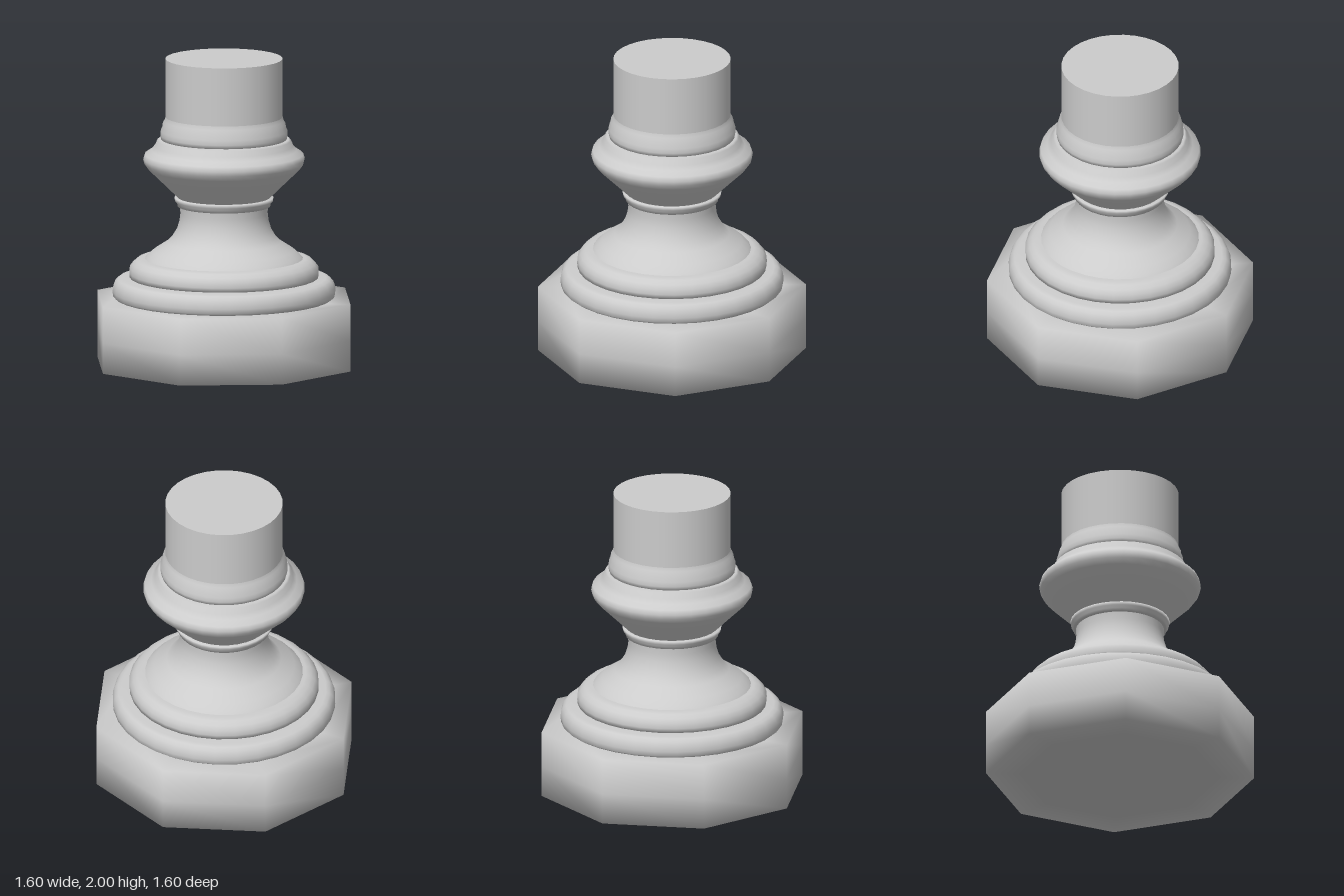
import * as THREE from 'three';

export function createModel() {
  const model = new THREE.Group();
  const material = new THREE.MeshStandardMaterial({ color: 0xcccccc });

  // Turned part: [radius, height] pairs, listed from bottom to top
  function turned(name, profile, sides = 32, start = 0) {
    const points = profile.map(([r, y]) => new THREE.Vector2(r, y));
    const mesh = new THREE.Mesh(new THREE.LatheGeometry(points, sides, start), material);
    mesh.name = name;
    model.add(mesh);
  }

  // Octagonal plinth, flat sides facing the axes, softly shaded edges
  const R = 0.8 / Math.cos(Math.PI / 8);
  turned('plinth', [[0, 0], [0.65, 0], [R, 0], [R, 0.2], [R, 0.435], [0.7, 0.435], [0, 0.435]], 8, Math.PI / 8);

  // Stepped rings
  turned('lowerRing', [[0.66, 0.435], [0.7, 0.436], [0.717, 0.45], [0.72, 0.48], [0.717, 0.51],
    [0.705, 0.54], [0.685, 0.558], [0.66, 0.567], [0.58, 0.57]]);
  turned('upperRing', [[0.56, 0.569], [0.61, 0.572], [0.612, 0.6], [0.61, 0.635], [0.59, 0.66],
    [0.565, 0.683], [0.53, 0.693], [0.46, 0.694]]);

  // Concave foot rising into the neck
  turned('neck', [[0.51, 0.693], [0.495, 0.71], [0.455, 0.745], [0.37, 0.8], [0.335, 0.835],
    [0.305, 0.885], [0.288, 0.94], [0.282, 0.99], [0.285, 1.04]]);
  turned('neckBand', [[0.26, 1.035], [0.3, 1.036], [0.303, 1.055], [0.317, 1.07], [0.32, 1.092], [0.26, 1.094]]);

  // Flaring bell with a rounded shoulder
  turned('bell', [[0.295, 1.09], [0.4, 1.193], [0.49, 1.28], [0.515, 1.315], [0.522, 1.345], [0.512, 1.375],
    [0.47, 1.402], [0.447, 1.43], [0.432, 1.465], [0.42, 1.474], [0.37, 1.475]]);

  // Collar and shaft
  turned('collar', [[0.39, 1.474], [0.407, 1.476], [0.411, 1.5], [0.409, 1.53], [0.4, 1.55],
    [0.397, 1.575], [0.385, 1.595], [0.379, 1.62]]);
  turned('shaft', [[0.379, 1.6], [0.379, 2]]);
  turned('shaftTop', [[0.379, 2], [0, 2]]);

  return model;
}
